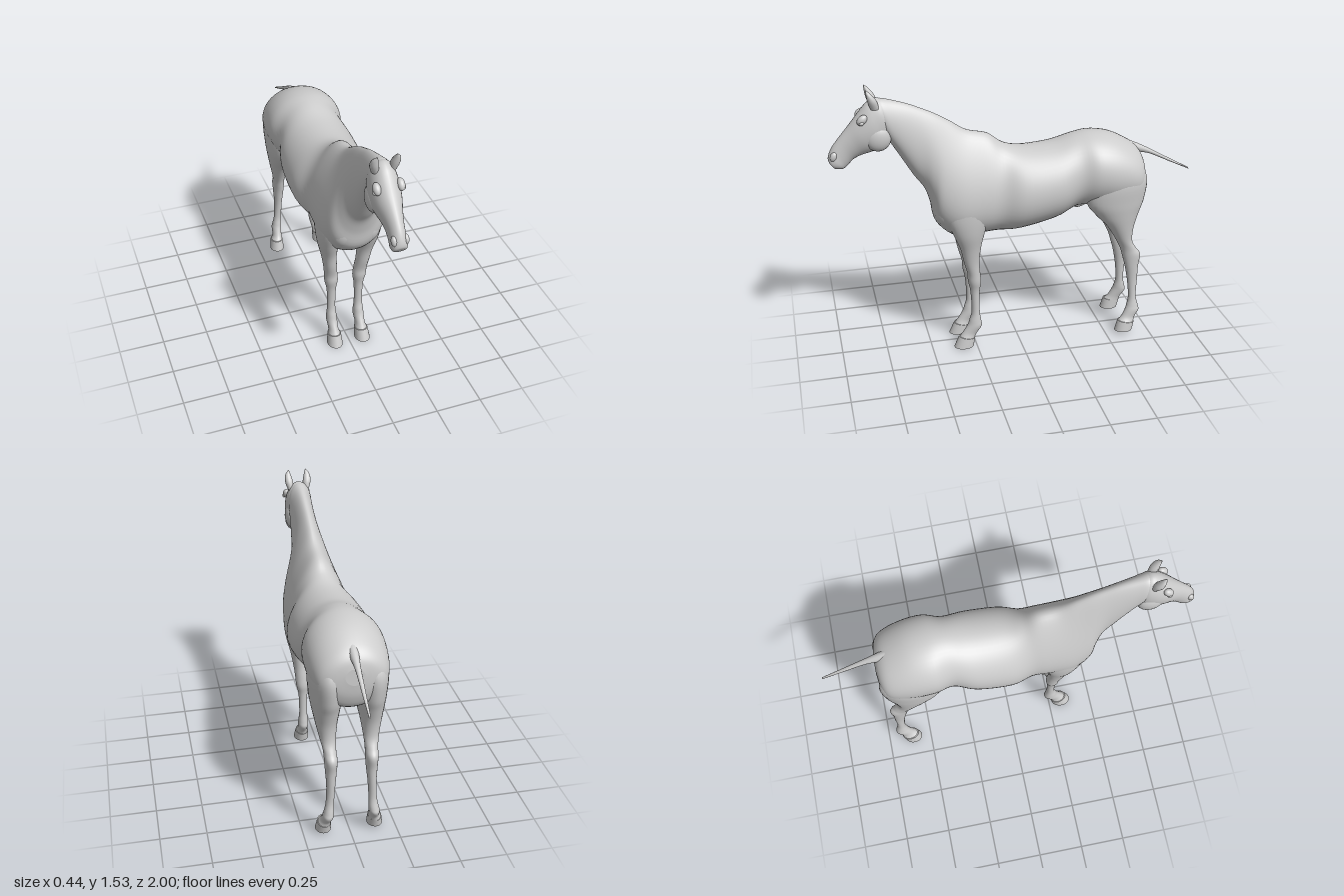
import * as THREE from 'three';

const coat = new THREE.MeshStandardMaterial({ color: 0xcccccc });
coat.name = 'light grey coat';

// Smooth interpolation of one station parameter
function spline(a, b, c, d, t) {
  return b + 0.5 * t * (c - a + t * (2 * a - 5 * b + 4 * c - d + t * (3 * (b - c) + d - a)));
}

// Loft through oval rings. Station: [z1, y1, z2, y2, halfWidth, centreX, egg],
// where the two points are opposite ends of the ring in the side plane
// and egg moves the widest part towards the second point.
function loft(stations, { side = 1, sub = 5, n = 32 } = {}) {
  const rings = [];
  const at = (i) => stations[Math.min(Math.max(i, 0), stations.length - 1)];
  for (let i = 0; i < stations.length - 1; i++) {
    for (let k = 0; k < sub; k++) {
      rings.push([0, 1, 2, 3, 4, 5, 6].map((c) =>
        spline(at(i - 1)[c] || 0, at(i)[c] || 0, at(i + 1)[c] || 0, at(i + 2)[c] || 0, k / sub)));
    }
  }
  rings.push(at(stations.length));
  const pos = [], index = [];
  const addRing = ([z1, y1, z2, y2, w, cx = 0, egg = 0]) => {
    for (let j = 0; j < n; j++) {
      const t = (j / n) * Math.PI * 2, c = Math.cos(t);
      pos.push(side * cx + w * Math.sin(t) * (1 - egg * c),
        (y1 + y2) / 2 + (y1 - y2) / 2 * c, (z1 + z2) / 2 + (z1 - z2) / 2 * c);
    }
  };
  rings.forEach(addRing);
  for (let i = 0; i < rings.length - 1; i++) {
    for (let j = 0; j < n; j++) {
      const a = i * n + j, b = i * n + (j + 1) % n;
      index.push(a, a + n, b, b, a + n, b + n);
    }
  }
  // Flat end caps with their own vertices
  [rings[0], rings[rings.length - 1]].forEach((ring, end) => {
    const s = pos.length / 3;
    addRing(ring);
    for (let j = 1; j < n - 1; j++) {
      if (end) index.push(s, s + j + 1, s + j);
      else index.push(s, s + j, s + j + 1);
    }
  });
  const g = new THREE.BufferGeometry();
  g.setAttribute('position', new THREE.Float32BufferAttribute(pos, 3));
  g.setIndex(index);
  g.computeVertexNormals();
  return g;
}

const TRUNK = [
  [-0.708, 1.03, -0.712, 0.94, 0.05],
  [-0.69, 1.08, -0.70, 0.86, 0.135],
  [-0.64, 1.13, -0.66, 0.79, 0.185],
  [-0.53, 1.187, -0.55, 0.77, 0.21],
  [-0.42, 1.207, -0.42, 0.785, 0.212],
  [-0.32, 1.197, -0.32, 0.785, 0.187, 0, 0.05],
  [-0.19, 1.162, -0.20, 0.735, 0.214, 0, 0.08],
  [-0.02, 1.154, 0, 0.69, 0.213, 0, 0.12],
  [0.08, 1.183, 0.12, 0.685, 0.175, 0, 0.22],
  [0.16, 1.24, 0.22, 0.68, 0.168, 0, 0.38],
  [0.27, 1.268, 0.35, 0.675, 0.165, 0, 0.42],
  [0.36, 1.325, 0.45, 0.76, 0.138, 0, 0.45],
  [0.44, 1.372, 0.475, 0.87, 0.108, 0, 0.38],
  [0.51, 1.405, 0.505, 0.96, 0.087, 0, 0.28],
  [0.58, 1.435, 0.56, 1.04, 0.077, 0, 0.2],
  [0.66, 1.46, 0.625, 1.15, 0.07, 0, 0.1],
  [0.72, 1.474, 0.68, 1.24, 0.066],
  [0.74, 1.46, 0.71, 1.28, 0.05],
];

const HEAD = [
  [0.70, 1.465, 0.665, 1.33, 0.045],
  [0.742, 1.477, 0.668, 1.28, 0.066],
  [0.785, 1.457, 0.69, 1.235, 0.074],
  [0.82, 1.42, 0.725, 1.208, 0.076],
  [0.86, 1.37, 0.775, 1.19, 0.069],
  [0.90, 1.322, 0.83, 1.175, 0.054],
  [0.94, 1.275, 0.87, 1.155, 0.044],
  [0.975, 1.23, 0.90, 1.125, 0.041],
  [0.995, 1.19, 0.925, 1.108, 0.042],
  [1.0, 1.16, 0.96, 1.11, 0.034],
  [0.99, 1.142, 0.975, 1.12, 0.015],
];

const FRONT_LEG = [
  [0.34, 1.06, 0.18, 1.06, 0.03, 0.09],
  [0.395, 0.95, 0.15, 0.95, 0.06, 0.108],
  [0.41, 0.83, 0.165, 0.83, 0.066, 0.112],
  [0.375, 0.72, 0.20, 0.72, 0.058, 0.112],
  [0.335, 0.62, 0.222, 0.62, 0.043, 0.104],
  [0.315, 0.53, 0.23, 0.53, 0.037, 0.094],
  [0.296, 0.46, 0.225, 0.46, 0.037, 0.086],
  [0.293, 0.41, 0.22, 0.40, 0.037, 0.082],
  [0.28, 0.34, 0.228, 0.34, 0.026, 0.08],
  [0.275, 0.22, 0.23, 0.22, 0.023, 0.08],
  [0.288, 0.165, 0.222, 0.155, 0.028, 0.08],
  [0.30, 0.13, 0.22, 0.12, 0.03, 0.08],
  [0.325, 0.09, 0.25, 0.075, 0.027, 0.08],
  [0.345, 0.062, 0.262, 0.047, 0.034, 0.08],
];
const FRONT_HOOF = [
  [0.35, 0.065, 0.258, 0.05, 0.037, 0.08],
  [0.378, 0, 0.268, 0, 0.043, 0.082],
];

const HIND_LEG = [
  [-0.42, 1.07, -0.65, 1.07, 0.04, 0.12],
  [-0.375, 0.94, -0.708, 0.96, 0.085, 0.117],
  [-0.37, 0.83, -0.697, 0.83, 0.085, 0.115],
  [-0.425, 0.75, -0.67, 0.75, 0.074, 0.116],
  [-0.49, 0.68, -0.645, 0.66, 0.058, 0.117],
  [-0.54, 0.60, -0.642, 0.575, 0.043, 0.114],
  [-0.575, 0.53, -0.67, 0.52, 0.034, 0.11],
  [-0.592, 0.475, -0.697, 0.48, 0.034, 0.108],
  [-0.61, 0.41, -0.688, 0.41, 0.03, 0.108],
  [-0.627, 0.32, -0.685, 0.32, 0.023, 0.11],
  [-0.636, 0.22, -0.68, 0.22, 0.022, 0.115],
  [-0.628, 0.17, -0.693, 0.16, 0.027, 0.12],
  [-0.618, 0.14, -0.697, 0.13, 0.029, 0.125],
  [-0.597, 0.10, -0.672, 0.09, 0.027, 0.13],
  [-0.575, 0.077, -0.665, 0.062, 0.034, 0.137],
];
const HIND_HOOF = [
  [-0.57, 0.08, -0.667, 0.065, 0.036, 0.138],
  [-0.553, 0.018, -0.655, 0.018, 0.042, 0.141],
];

const EAR = [
  [0.725, 1.43, 0.77, 1.43, 0.017, 0.044],
  [0.737, 1.475, 0.784, 1.472, 0.023, 0.052],
  [0.763, 1.512, 0.79, 1.508, 0.016, 0.055],
  [0.788, 1.535, 0.792, 1.533, 0.002, 0.05],
];

const TAIL = [
  [-0.60, 1.09, -0.60, 1.145, 0.026],
  [-0.68, 1.062, -0.67, 1.118, 0.024],
  [-0.76, 1.042, -0.75, 1.077, 0.015],
  [-0.88, 0.985, -0.875, 1.006, 0.01],
  [-1.0, 0.928, -0.997, 0.938, 0.005],
];

export function createModel() {
  const horse = new THREE.Group();
  horse.name = 'horse';
  const add = (name, geometry) => {
    const mesh = new THREE.Mesh(geometry, coat);
    mesh.name = name;
    horse.add(mesh);
    return mesh;
  };
  const blob = (name, p, r, tilt = 0) => {
    const mesh = add(name, new THREE.SphereGeometry(1, 24, 16));
    mesh.position.set(...p);
    mesh.scale.set(...r);
    mesh.rotation.x = tilt;
  };

  add('trunkAndNeck', loft(TRUNK, { n: 48 }));
  add('head', loft(HEAD));
  add('tail', loft(TAIL, { n: 16 }));
  blob('sheath', [0, 0.79, -0.37], [0.03, 0.025, 0.05], 0.4);

  // Mirrored parts
  for (const side of [1, -1]) {
    const label = side > 0 ? 'left' : 'right';
    add(label + 'FrontLeg', loft(FRONT_LEG, { side }));
    add(label + 'FrontHoof', loft(FRONT_HOOF, { side }));
    add(label + 'HindLeg', loft(HIND_LEG, { side }));
    add(label + 'HindHoof', loft(HIND_HOOF, { side }));
    add(label + 'Ear', loft(EAR, { side, n: 16 }));
    blob(label + 'ChestMuscle', [side * 0.065, 0.85, 0.395], [0.075, 0.1, 0.07]);
    blob(label + 'Cheek', [side * 0.045, 1.275, 0.74], [0.038, 0.072, 0.068]);
    blob(label + 'Brow', [side * 0.06, 1.382, 0.818], [0.02, 0.022, 0.032], 0.8);
    blob(label + 'Eye', [side * 0.073, 1.368, 0.822], [0.01, 0.011, 0.014], 0.5);
    blob(label + 'Nostril', [side * 0.03, 1.185, 0.972], [0.015, 0.026, 0.018], -0.4);
  }
  return horse;
}
